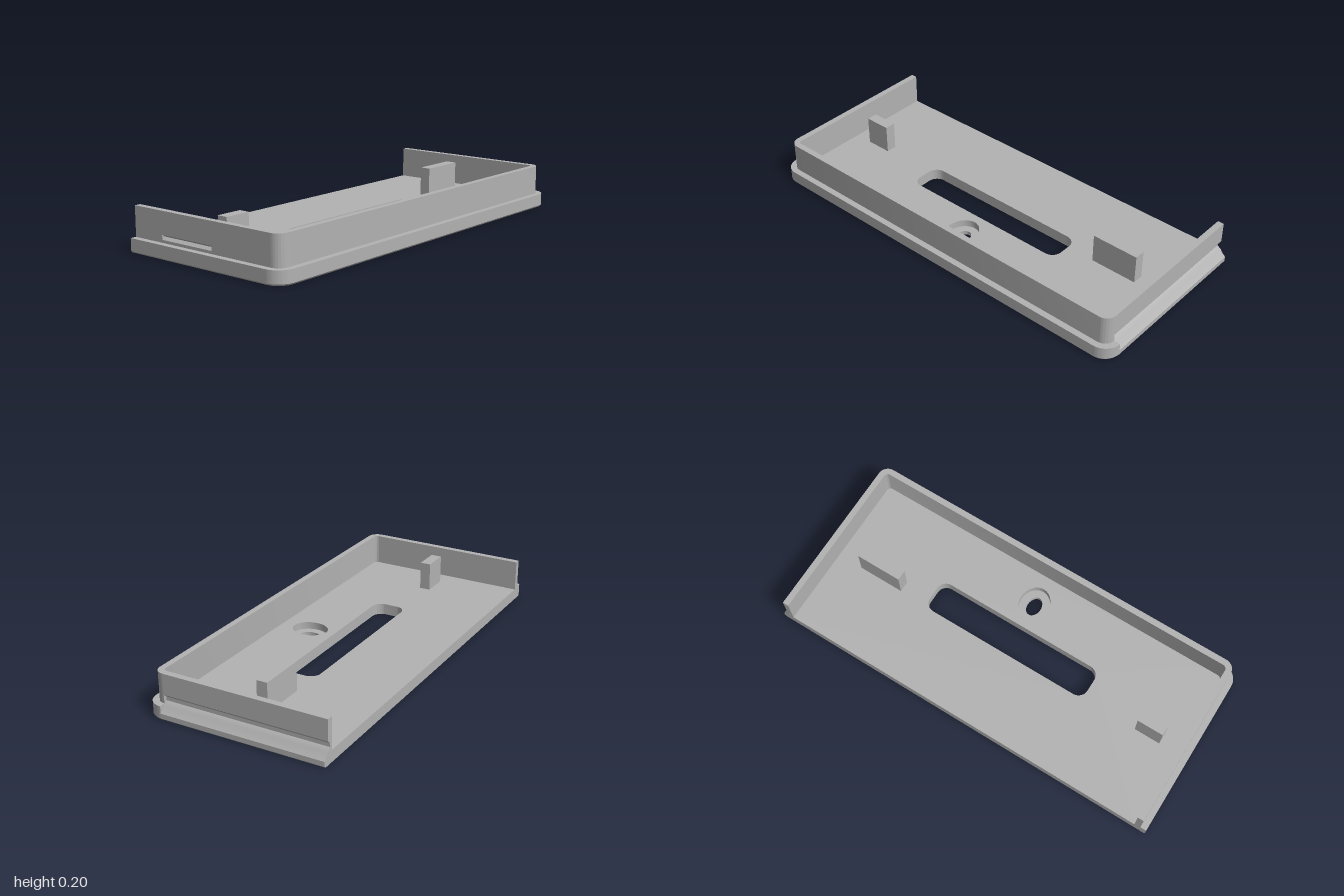
import * as THREE from 'three';
import { toCreasedNormals } from 'three/addons/utils/BufferGeometryUtils.js';

const OPEN = -0.44;  // x of the open end
const BEND = 0.36;   // x where the rounded corners begin
const CZ = 0.92;     // z of the corner centres
const INNER = 0.94;  // z of the inner faces of the side walls
const TOP = 0.205;

const grey = new THREE.MeshStandardMaterial({ color: 0xb2b2b2 });
grey.name = 'grey plastic';

function addMesh(group, name, geometry) {
  const mesh = new THREE.Mesh(toCreasedNormals(geometry, 0.6), grey);
  mesh.name = name;
  group.add(mesh);
  return mesh;
}

// Floor outline; the strips beyond INNER are filled by the side profiles
function floorShape() {
  const s = new THREE.Shape();
  s.moveTo(OPEN, -INNER).lineTo(BEND, -INNER).lineTo(BEND, -1);
  s.absarc(BEND, -CZ, 0.08, -Math.PI / 2, 0, false);
  s.absarc(BEND, CZ, 0.08, 0, Math.PI / 2, false);
  s.lineTo(BEND, INNER).lineTo(OPEN, INNER).closePath();
  return s;
}

// Band along the closed end with both rounded corners
function endShape(r) {
  const s = new THREE.Shape();
  s.moveTo(BEND, -CZ - r);
  s.absarc(BEND, -CZ, r, -Math.PI / 2, 0, false);
  s.absarc(BEND, CZ, r, 0, Math.PI / 2, false);
  s.lineTo(BEND, INNER);
  s.absarc(BEND, CZ, 0.02, Math.PI / 2, 0, true);
  s.absarc(BEND, -CZ, 0.02, 0, -Math.PI / 2, true);
  s.closePath();
  return s;
}

function ellipse(x, z, rx, rz) {
  return new THREE.Path().absellipse(x, -z, rx, rz, 0, Math.PI * 2, false);
}

function slotHole(x0, x1, z, r) {
  const p = new THREE.Path();
  p.absarc(x1 - r, z - r, r, 0, Math.PI / 2, false);
  p.absarc(x0 + r, z - r, r, Math.PI / 2, Math.PI, false);
  p.absarc(x0 + r, -z + r, r, Math.PI, Math.PI * 1.5, false);
  p.absarc(x1 - r, -z + r, r, Math.PI * 1.5, Math.PI * 2, false);
  p.closePath();
  return p;
}

// Horizontal slab between two heights
function slab(shape, y0, y1, holes = []) {
  shape.holes.push(...holes);
  return new THREE.ExtrudeGeometry(shape, { depth: y1 - y0, bevelEnabled: false, curveSegments: 16 })
    .rotateX(-Math.PI / 2).translate(0, y0, 0);
}

// Side profile of [outward distance, height] points, run along x
function sideBar(side, points, x0, x1) {
  const shape = new THREE.Shape(points.map(([d, y]) => new THREE.Vector2(-side * d, y)));
  return new THREE.ExtrudeGeometry(shape, { depth: x1 - x0, bevelEnabled: false })
    .rotateY(Math.PI / 2).translate(x0, 0, 0);
}

export function createModel() {
  const model = new THREE.Group();
  model.name = 'openEndedTray';

  // Floor in three layers: disc recesses below, counterbore above
  const slot = () => slotHole(-0.06, 0.1, 0.44, 0.05);
  const screwHole = () => ellipse(0.23, 0, 0.05, 0.035);
  const bottom = slab(floorShape(), 0, 0.008, [
    slot(), screwHole(), ellipse(0.265, 0.81, 0.105, 0.105), ellipse(0.265, -0.81, 0.105, 0.105),
  ]);
  // Draw the lowest outer edge inwards as a small chamfer
  const p = bottom.attributes.position;
  for (let i = 0; i < p.count; i++) {
    if (p.getY(i) > 0.004) continue;
    const x = p.getX(i), z = p.getZ(i);
    p.setX(i, x - 0.007 * Math.max(0, (x - 0.375) / 0.065));
    p.setZ(i, z - Math.sign(z) * 0.007 * Math.max(0, (Math.abs(z) - CZ) / 0.08));
  }
  addMesh(model, 'floorBottom', bottom);
  addMesh(model, 'floorMiddle', slab(floorShape(), 0.008, 0.02, [slot(), screwHole()]));
  addMesh(model, 'floorTop', slab(floorShape(), 0.02, 0.055, [slot(), ellipse(0.23, 0, 0.088, 0.073)]));

  // Closed end: stepped rim and wall
  addMesh(model, 'endRim', slab(endShape(0.08), 0.055, 0.065));
  addMesh(model, 'endWall', slab(endShape(0.05), 0.065, TOP));

  // Front side wall with a short V slot
  const foot = [[INNER, 0], [0.993, 0], [1, 0.007], [1, 0.065], [0.97, 0.065]];
  const head = [[0.97, TOP], [INNER, TOP]];
  const notch = [[0.97, 0.078], [0.955, 0.09], [0.97, 0.1]];
  addMesh(model, 'frontWallOuter', sideBar(1, [...foot, ...head], OPEN, -0.27));
  addMesh(model, 'frontWallSlot', sideBar(1, [...foot, ...notch, ...head], -0.27, 0.03));
  addMesh(model, 'frontWallInner', sideBar(1, [...foot, ...head], 0.03, BEND));

  // Back side wall with a long groove and sloping lip
  addMesh(model, 'backWallGroove', sideBar(-1, [
    [INNER, 0], [0.993, 0], [1, 0.007], [1, 0.03], [0.978, 0.052], [0.974, 0.06],
    [0.955, 0.074], [0.955, 0.092], [0.97, 0.106], ...head,
  ], OPEN, BEND));

  // Upright posts on the floor
  for (const [name, z0, z1] of [['backPost', -0.81, -0.58], ['frontPost', 0.72, 0.85]]) {
    const post = addMesh(model, name, new THREE.BoxGeometry(0.053, 0.145, z1 - z0).toNonIndexed());
    post.position.set(-0.028, 0.1225, (z0 + z1) / 2);
  }
  return model;
}
